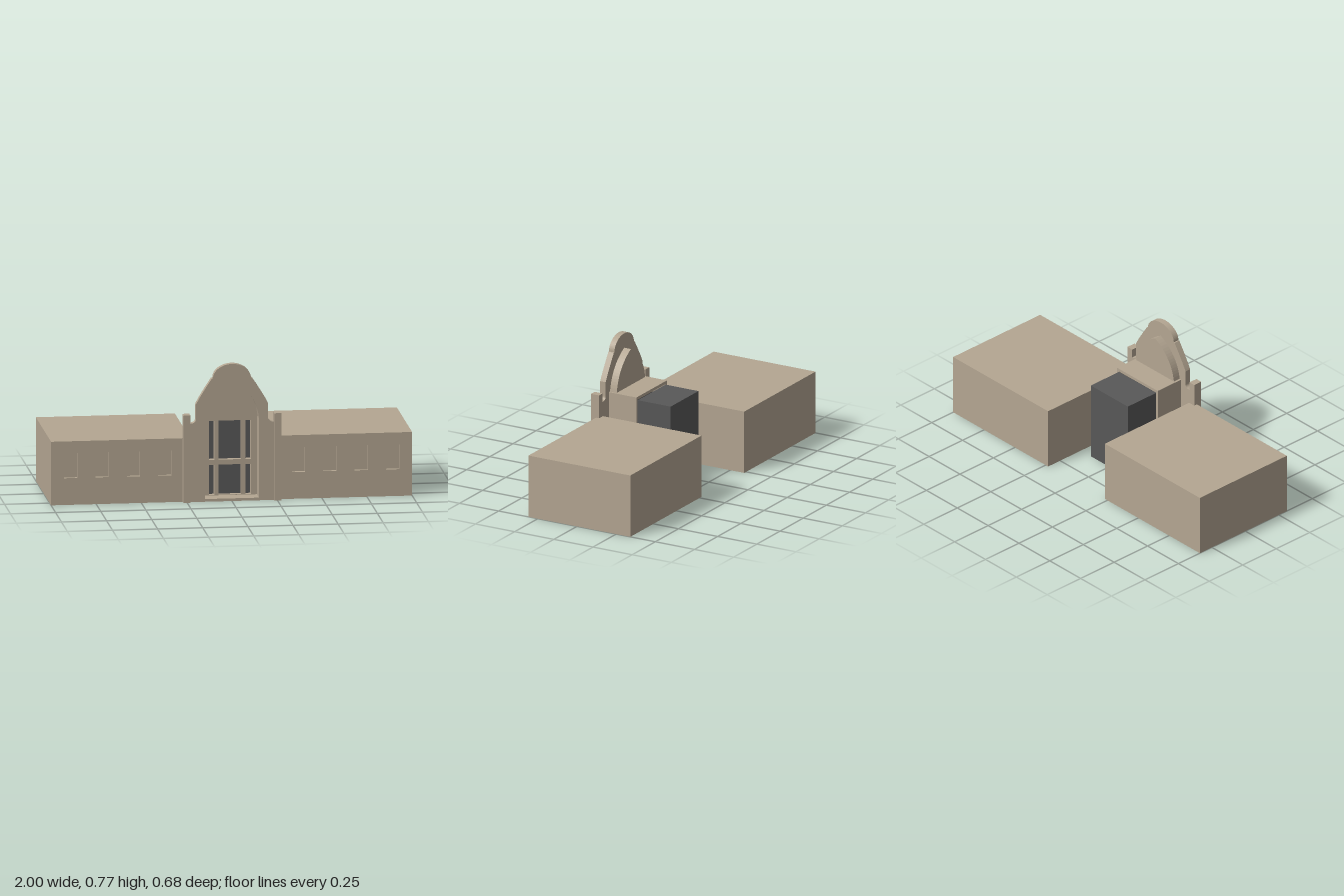
import * as THREE from 'three';

const stone = new THREE.MeshStandardMaterial({ color: 0xb4a692 });
stone.name = 'stone';
const dark = new THREE.MeshStandardMaterial({ color: 0x585858 });
dark.name = 'darkGlass';

export function createModel() {
  const model = new THREE.Group();
  model.name = 'building';

  // box given by its min and max on each axis
  const box = (name, mat, x0, x1, y0, y1, z0, z1) => {
    const mesh = new THREE.Mesh(new THREE.BoxGeometry(x1 - x0, y1 - y0, z1 - z0), mat);
    mesh.position.set((x0 + x1) / 2, (y0 + y1) / 2, (z0 + z1) / 2);
    mesh.name = name;
    model.add(mesh);
  };
  // flat shape pushed from z0 to z1
  const slab = (name, shape, z0, z1) => {
    const geo = new THREE.ExtrudeGeometry(shape, { depth: z1 - z0, bevelEnabled: false, curveSegments: 16 });
    const mesh = new THREE.Mesh(geo, stone);
    mesh.position.z = z0;
    mesh.name = name;
    model.add(mesh);
  };
  const rect = (path, x0, x1, y0, y1) => {
    path.moveTo(x0, y0);
    path.lineTo(x1, y0);
    path.lineTo(x1, y1);
    path.lineTo(x0, y1);
    path.closePath();
    return path;
  };
  // pointed arch, drawn from the right foot over to the left foot
  const arch = (path, w, spring, top) => {
    path.lineTo(w, spring);
    path.quadraticCurveTo(w * 0.9, spring + (top - spring) * 0.68, 0, top);
    path.quadraticCurveTo(-w * 0.9, spring + (top - spring) * 0.68, -w, spring);
  };

  // wings with recessed windows, and the pillars beside the entrance
  for (const s of [-1, 1]) {
    const side = s > 0 ? 'left' : 'right';
    const span = (a, b) => (s > 0 ? [a, b] : [-b, -a]);
    box(side + 'Wing', stone, ...span(0.23, 1), 0, 0.357, -0.34, 0.29);
    const wall = rect(new THREE.Shape(), ...span(0.23, 1), 0, 0.357);
    for (let i = 0; i < 4; i++) {
      const x = 0.333 + i * 0.174;
      wall.holes.push(rect(new THREE.Path(), ...span(x, x + 0.074), 0.15, 0.29));
    }
    slab(side + 'WindowWall', wall, 0.29, 0.31);
    box(side + 'Pillar', stone, ...span(0.232, 0.271), 0, 0.49, 0.29, 0.342);
    box(side + 'VestibuleWall', stone, ...span(0.15, 0.165), 0, 0.46, 0.115, 0.29);
  }

  // curved gable facade with the arched opening cut from the ground up
  const facade = new THREE.Shape();
  facade.moveTo(0.15, 0);
  facade.lineTo(0.235, 0);
  facade.lineTo(0.235, 0.44);
  facade.quadraticCurveTo(0.2, 0.44, 0.2, 0.465);
  facade.lineTo(0.2, 0.545);
  facade.quadraticCurveTo(0.185, 0.58, 0.112, 0.69);
  facade.lineTo(0.105, 0.69);
  facade.absellipse(0, 0.69, 0.105, 0.08, 0, Math.PI, false);
  facade.lineTo(-0.112, 0.69);
  facade.quadraticCurveTo(-0.185, 0.58, -0.2, 0.545);
  facade.lineTo(-0.2, 0.465);
  facade.quadraticCurveTo(-0.2, 0.44, -0.235, 0.44);
  facade.lineTo(-0.235, 0);
  facade.lineTo(-0.15, 0);
  // inner edge runs up the left jamb and down the right one
  facade.lineTo(-0.15, 0.46);
  facade.quadraticCurveTo(-0.135, 0.61, 0, 0.68);
  facade.quadraticCurveTo(0.135, 0.61, 0.15, 0.46);
  facade.closePath();
  slab('gableFacade', facade, 0.29, 0.325);

  // arch backing panel
  const panel = new THREE.Shape();
  panel.moveTo(-0.155, 0.46);
  panel.lineTo(0.155, 0.46);
  arch(panel, 0.155, 0.461, 0.686);
  panel.closePath();
  slab('archPanel', panel, 0.247, 0.262);
  const rim = new THREE.Shape();
  rim.moveTo(0.155, 0.46);
  arch(rim, 0.155, 0.461, 0.686);
  rim.lineTo(-0.15, 0.46);
  rim.quadraticCurveTo(-0.135, 0.61, 0, 0.68);
  rim.quadraticCurveTo(0.135, 0.61, 0.15, 0.46);
  rim.closePath();
  slab('archRim', rim, 0.262, 0.29);

  // vestibule roof, doorstep and the dark hall behind
  box('vestibuleRoof', stone, -0.165, 0.165, 0.46, 0.477, 0.115, 0.247);
  box('roofEdge', stone, -0.165, 0.165, 0.46, 0.477, 0.247, 0.262);
  for (const s of [-1, 1]) {
    box('roofCorner', stone, s * 0.1575 - 0.0075, s * 0.1575 + 0.0075, 0.46, 0.477, 0.262, 0.29);
  }
  box('doorstep', stone, -0.15, 0.15, 0, 0.015, 0.115, 0.325);
  box('rearHall', dark, -0.15, 0.15, 0, 0.457, -0.095, 0.115);

  // entrance frame with two rows of three panes
  const frame = rect(new THREE.Shape(), -0.15, 0.15, 0.01, 0.46);
  for (const [y0, y1] of [[0.018, 0.187], [0.215, 0.434]]) {
    for (const [x0, x1] of [[-0.116, -0.086], [-0.062, 0.062], [0.086, 0.116]]) {
      frame.holes.push(rect(new THREE.Path(), x0, x1, y0, y1));
    }
  }
  slab('entranceFrame', frame, 0.205, 0.235);
  box('entranceGlass', dark, -0.148, 0.148, 0.016, 0.458, 0.198, 0.205);

  return model;
}
